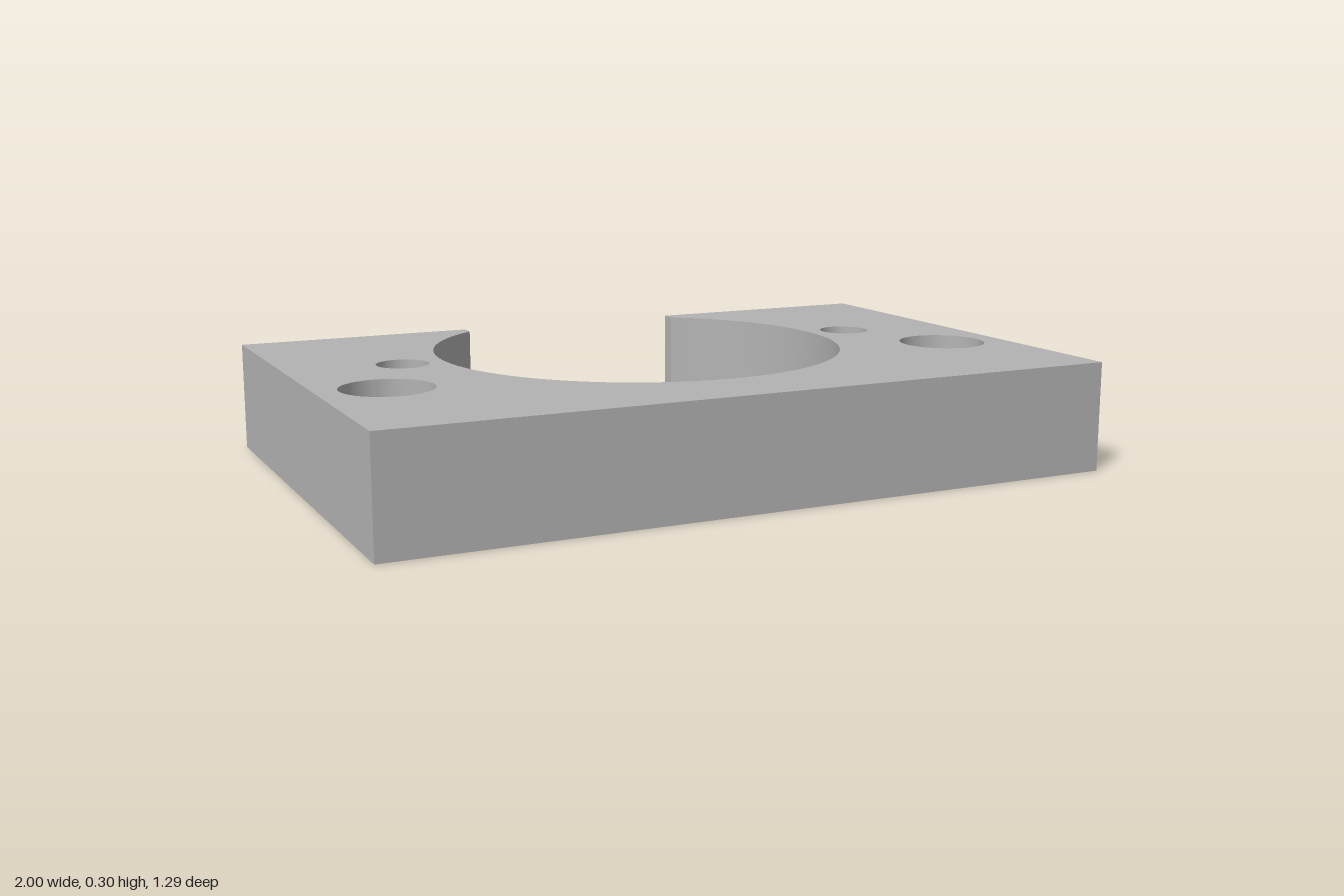
import * as THREE from 'three';
import { toCreasedNormals } from 'three/addons/utils/BufferGeometryUtils.js';

const W = 1, D = 0.645, H = 0.297;        // half width, half depth, height
const STEP = 0.125;                       // nut pocket ceiling and counterbore floor
const BORE = 0.57, BORE_Y = 0.14;         // main bore; shape y runs towards the back
const MOUTH = 0.335;                      // half width of the rear opening
const PIN_X = 0.685, BOLT_X = 0.82, BOLT_Y = -0.172;
const HOLE = 0.07, HEAD = 0.12;

// points along the bore wall between two angles
function arc(a0, a1) {
  const n = Math.max(2, Math.ceil(Math.abs(a1 - a0) / 0.05));
  return Array.from({ length: n + 1 }, (_, i) => {
    const a = a0 + (a1 - a0) * i / n;
    return new THREE.Vector2(BORE * Math.cos(a), BORE_Y + BORE * Math.sin(a));
  });
}

// hexagonal nut pocket that just breaks through the bore wall on side s
function nutPocket(s, gap) {
  const apothem = PIN_X - BORE * Math.cos(gap);
  const r = apothem / Math.cos(Math.PI / 6);
  return [150, 90, 30, -30, -90, -150].map((deg) => {
    const a = THREE.MathUtils.degToRad(deg);
    return new THREE.Vector2(s * (PIN_X + r * Math.cos(a)), BORE_Y + s * r * Math.sin(a));
  });
}

// plate outline, open at the back, with or without nut pockets
function plateOutline(withPockets) {
  const lip = Math.acos(MOUTH / BORE), gap = 0.047, pi = Math.PI;
  const inner = withPockets
    ? [...arc(lip, gap), ...nutPocket(1, gap), ...arc(-gap, gap - pi),
       ...nutPocket(-1, gap), ...arc(-pi - gap, -pi - lip)]
    : arc(lip, -pi - lip);
  return new THREE.Shape([
    new THREE.Vector2(-W, -D), new THREE.Vector2(W, -D),
    new THREE.Vector2(W, D), new THREE.Vector2(MOUTH, D),
    ...inner,
    new THREE.Vector2(-MOUTH, D), new THREE.Vector2(-W, D),
  ]);
}

function addHole(shape, x, y, r) {
  shape.holes.push(new THREE.Path().absarc(x, y, r, 0, Math.PI * 2, true));
}

function layer(name, shape, y0, y1, material) {
  let geo = new THREE.ExtrudeGeometry(shape, { depth: y1 - y0, bevelEnabled: false, curveSegments: 40 });
  geo.rotateX(-Math.PI / 2);
  geo.translate(0, y0, 0);
  geo = toCreasedNormals(geo, 0.4);
  const mesh = new THREE.Mesh(geo, material);
  mesh.name = name;
  return mesh;
}

export function createModel() {
  const group = new THREE.Group();
  group.name = 'clampPlate';
  const grey = new THREE.MeshStandardMaterial({ color: 0xb3b3b3 });
  grey.name = 'plain grey';

  // lower layer: nut pockets and bolt clearance holes
  const lower = plateOutline(true);
  // upper layer: pin holes and counterbores for bolt heads
  const upper = plateOutline(false);
  for (const s of [-1, 1]) {
    addHole(lower, s * BOLT_X, BOLT_Y, HOLE);
    addHole(upper, s * BOLT_X, BOLT_Y, HEAD);
    addHole(upper, s * PIN_X, BORE_Y, HOLE);
  }
  group.add(layer('lowerPlate', lower, 0, STEP, grey));
  group.add(layer('upperPlate', upper, STEP, H, grey));
  return group;
}
